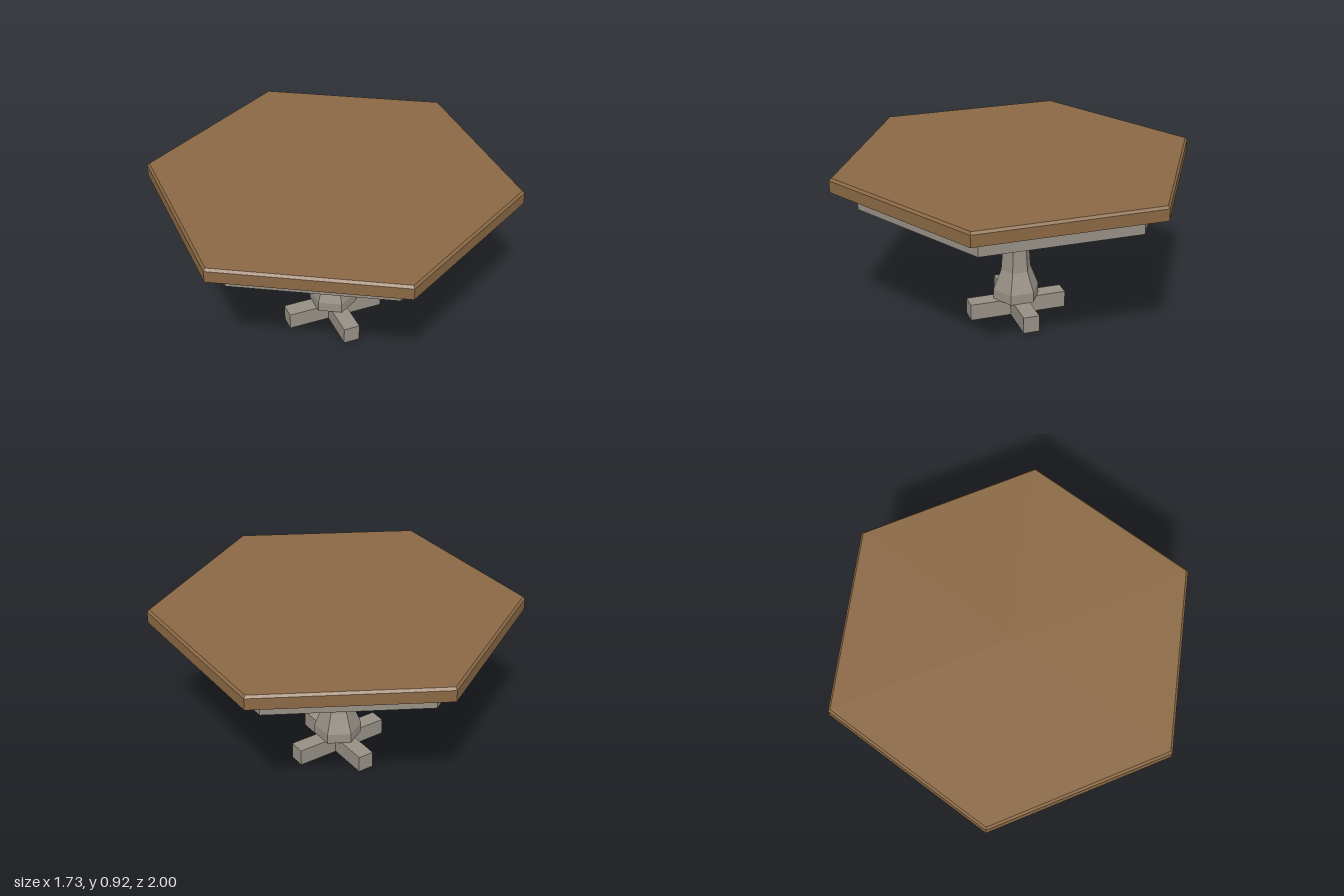
import * as THREE from 'three';

const wood = new THREE.MeshStandardMaterial({ color: 0x8a6844 });
wood.name = 'wood';
const stone = new THREE.MeshStandardMaterial({ color: 0x968f85, side: THREE.DoubleSide });
stone.name = 'stone';

// Six-sided, flat-faced turning of a [radius, height] profile, with corners on the z axis
function hexTurning(name, profile, material) {
  const points = profile.map(([r, y]) => new THREE.Vector2(r, y));
  const geometry = new THREE.LatheGeometry(points, 6).toNonIndexed();
  geometry.computeVertexNormals();
  const mesh = new THREE.Mesh(geometry, material);
  mesh.name = name;
  return mesh;
}

// Box without its bottom face (box groups run +x, -x, +y, -y, +z, -z)
function openBox(w, h, d) {
  const geometry = new THREE.BoxGeometry(w, h, d);
  const index = Array.from(geometry.index.array);
  index.splice(18, 6);
  geometry.setIndex(index);
  geometry.clearGroups();
  return geometry;
}

export function createModel() {
  const table = new THREE.Group();
  table.name = 'hexagonalTable';

  // Top slab with a small bevel
  table.add(hexTurning('tableTop', [[1, 0.84], [1, 0.904], [0.987, 0.917], [0, 0.917]], wood));

  // Underside of the slab
  table.add(hexTurning('tableUnderside', [[0, 0.84], [1, 0.84]], stone));

  // Hollow apron
  table.add(hexTurning('apron', [[0.86, 0.727], [0.86, 0.84]], stone));

  // Waisted pedestal
  table.add(hexTurning('pedestal', [
    [0.131, 0.093], [0.131, 0.15], [0.086, 0.265], [0.07, 0.48], [0.095, 0.775], [0.108, 0.84],
  ], stone));

  // Two crossed foot bars
  const feet = new THREE.Group();
  feet.name = 'feet';
  for (let i = 0; i < 2; i++) {
    const bar = new THREE.Mesh(openBox(0.55, 0.094, 0.09), stone);
    bar.name = 'footBar';
    bar.position.y = 0.047;
    bar.rotation.y = i * Math.PI / 2;
    feet.add(bar);
  }
  table.add(feet);

  return table;
}
